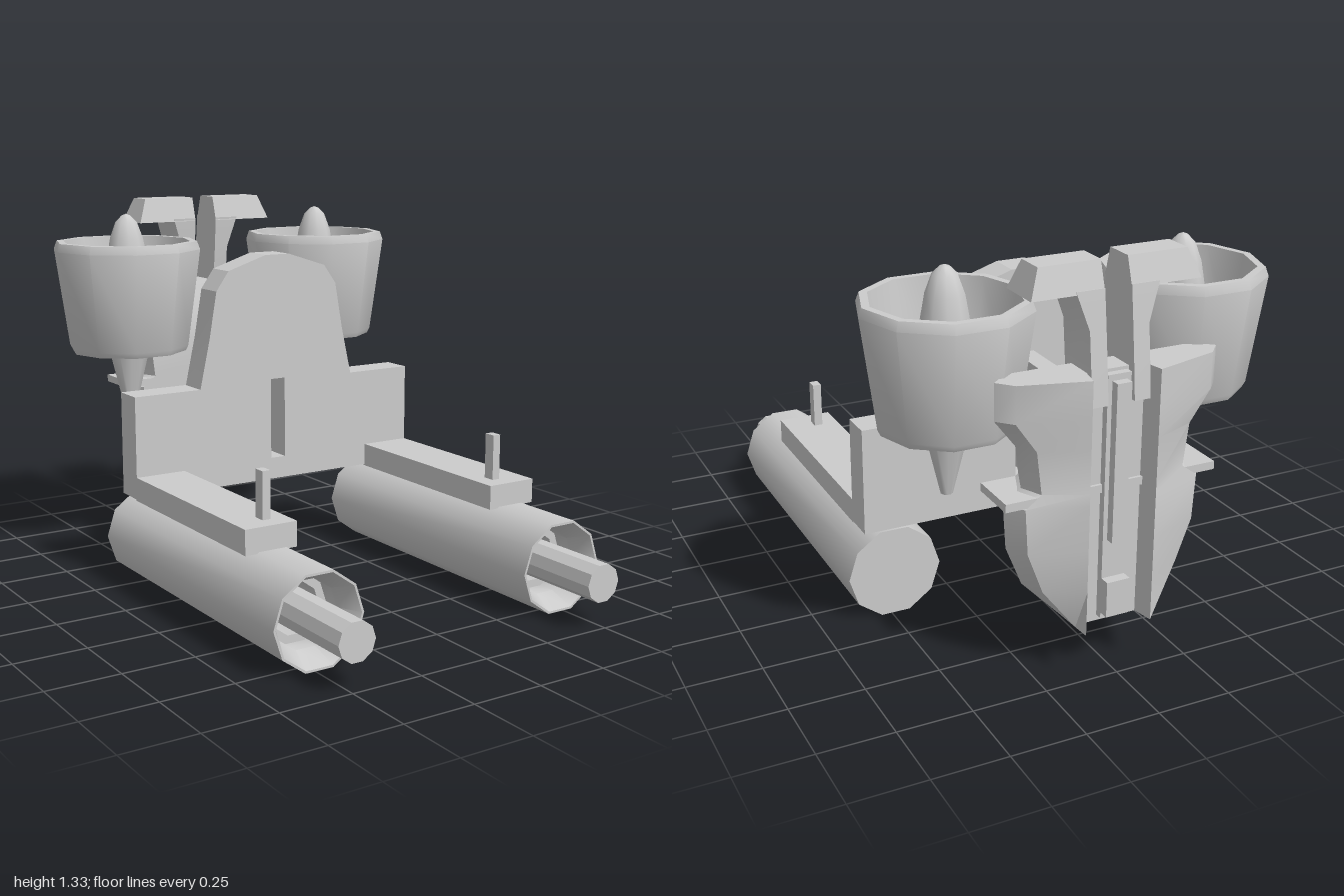
import * as THREE from 'three';
import { toCreasedNormals } from 'three/addons/utils/BufferGeometryUtils.js';

const material = new THREE.MeshStandardMaterial({ color: 0xcccccc });

function add(parent, name, geometry, x = 0, y = 0, z = 0, crease = 0.7) {
  const mesh = new THREE.Mesh(toCreasedNormals(geometry, crease), material);
  mesh.name = name;
  mesh.position.set(x, y, z);
  parent.add(mesh);
  return mesh;
}

// Box given by its limits on each axis
function addBox(parent, name, [x0, x1], [y0, y1], [z0, z1]) {
  const g = new THREE.BoxGeometry(x1 - x0, y1 - y0, z1 - z0);
  return add(parent, name, g, (x0 + x1) / 2, (y0 + y1) / 2, (z0 + z1) / 2);
}

// Ten-sided turned part with corners on the x axis
function turned(profile) {
  return new THREE.LatheGeometry(profile.map(([r, y]) => new THREE.Vector2(r, y)), 10, Math.PI / 2);
}

// Solid from stacked rings: { y, ring: [[x, z], ...] }, running front -> +x -> back
function loft(sections) {
  const n = sections[0].ring.length;
  const pos = [], index = [];
  for (const { y, ring } of sections) for (const [x, z] of ring) pos.push(x, y, z);
  for (let s = 0; s < sections.length - 1; s++) {
    for (let i = 0; i < n; i++) {
      const a = s * n + i, b = s * n + (i + 1) % n;
      index.push(a, b, b + n, a, b + n, a + n);
    }
  }
  const cap = ring => THREE.ShapeUtils.triangulateShape(ring.map(([x, z]) => new THREE.Vector2(x, -z)), []);
  const top = (sections.length - 1) * n;
  for (const [a, b, c] of cap(sections[0].ring)) index.push(a, c, b);
  for (const [a, b, c] of cap(sections[sections.length - 1].ring)) index.push(top + a, top + b, top + c);
  const g = new THREE.BufferGeometry();
  g.setAttribute('position', new THREE.Float32BufferAttribute(pos, 3));
  g.setIndex(index);
  return g;
}

// Rectangular ring on the side s = +1 or -1
function rect(s, x0, x1, z0, z1) {
  const [l, r] = s > 0 ? [x0, x1] : [-x1, -x0];
  return [[l, z1], [r, z1], [r, z0], [l, z0]];
}

function makeBarrel(s) {
  const barrel = new THREE.Group();
  barrel.name = s > 0 ? 'leftBarrel' : 'rightBarrel';
  const x = s * 0.485;
  const casing = add(barrel, 'casing', turned([
    [0, -0.355], [0.163, -0.355], [0.163, 0.8], [0.155, 0.8],
    [0.115, 0.72], [0.115, 0.66], [0.087, 0.66], [0.087, 0.5], [0, 0.5],
  ]), x, 0.155);
  casing.rotation.x = Math.PI / 2;
  const muzzle = add(barrel, 'muzzle', turned([[0, 0.5], [0.066, 0.5], [0.066, 1], [0, 1]]), x, 0.155, 0, 0.4);
  muzzle.rotation.x = Math.PI / 2;
  // Rail on top, with its control stick
  const span = (a, b) => (s > 0 ? [a, b] : [-b, -a]);
  addBox(barrel, 'rail', span(0.395, 0.585), [0.305, 0.39], [-0.24, 0.53]);
  addBox(barrel, 'stick', span(0.455, 0.485), [0.39, 0.55], [0.425, 0.468]);
  return barrel;
}

function makeFan(s) {
  const fan = new THREE.Group();
  fan.name = s > 0 ? 'leftFan' : 'rightFan';
  fan.position.set(s * 0.415, 0, -0.628);
  add(fan, 'duct', turned([
    [0, 0.78], [0.215, 0.78], [0.225, 0.8], [0.275, 1.16], [0.264, 1.19],
    [0.238, 1.19], [0.2, 0.94], [0, 0.94],
  ]));
  add(fan, 'spinner', turned([
    [0.085, 0.94], [0.08, 1.1], [0.062, 1.2], [0.04, 1.26], [0.016, 1.284], [0, 1.29],
  ]));
  add(fan, 'exhaustCone', turned([[0, 0.55], [0.02, 0.55], [0.076, 0.78]]));
  return fan;
}

function makeBackPack() {
  const pack = new THREE.Group();
  pack.name = 'backPack';
  // Shell: [height, half width, front z, widest z], grooved down the back
  const sections = [
    [0.16, 0.125, -0.77, -0.86], [0.31, 0.27, -0.77, -0.86], [0.45, 0.33, -0.77, -0.87],
    [0.6, 0.34, -0.77, -0.87], [0.64, 0.28, -0.77, -0.87], [0.78, 0.3, -0.77, -0.87],
    [0.88, 0.38, -0.79, -0.89], [1.0, 0.38, -0.84, -0.89],
  ].map(([y, w, front, mid]) => {
    const half = [
      [w * 0.85, front], [w, mid], [Math.max(w * 0.88, 0.12), -0.94], [0.115, -1], [0.1, -0.93],
    ];
    return { y, ring: [...half, ...half.map(([x, z]) => [-x, z]).reverse()] };
  });
  add(pack, 'shell', loft(sections), 0, 0, 0, 0.6);
  addBox(pack, 'sideFins', [-0.365, 0.365], [0.605, 0.632], [-0.94, -0.77]);
  // Details in the groove
  addBox(pack, 'spine', [-0.04, 0.04], [0.18, 0.99], [-0.955, -0.84]);
  addBox(pack, 'spineRail', [-0.025, 0.025], [0.45, 0.97], [-0.985, -0.9]);
  addBox(pack, 'latch', [-0.04, 0.04], [0.2, 0.32], [-0.99, -0.9]);
  for (const s of [1, -1]) {
    // Forked neck carrying a tapered hood
    add(pack, 'neck', loft([
      { y: 0.9, ring: rect(s, 0.045, 0.1, -0.97, -0.82) },
      { y: 1.0, ring: rect(s, 0.045, 0.1, -0.96, -0.8) },
      { y: 1.13, ring: rect(s, 0.045, 0.1, -0.945, -0.785) },
      { y: 1.25, ring: rect(s, 0.045, 0.14, -0.93, -0.775) },
    ]));
    add(pack, 'hood', loft([
      { y: 1.24, ring: rect(s, 0.045, 0.285, -0.93, -0.775) },
      { y: 1.33, ring: rect(s, 0.045, 0.25, -0.9, -0.8) },
    ]), 0, 0, 0, 0.3);
  }
  return pack;
}

export function createModel() {
  const model = new THREE.Group();
  model.name = 'flyingFrame';

  // Upright plate with a slot
  const right = [[0.585, 0.31], [0.585, 0.68], [0.325, 0.68], [0.285, 0.86], [0.255, 1.03], [0.205, 1.1], [0.05, 1.15]];
  const outline = [...right, ...right.map(([x, y]) => [-x, y]).reverse()];
  const shape = new THREE.Shape(outline.map(p => new THREE.Vector2(...p)));
  const slot = [[-0.03, 0.39], [-0.03, 0.69], [0.03, 0.69], [0.03, 0.39]];
  shape.holes.push(new THREE.Path(slot.map(p => new THREE.Vector2(...p))));
  add(model, 'frontPlate', new THREE.ExtrudeGeometry(shape, { depth: 0.112, bevelEnabled: false }), 0, 0, -0.345, 0.2);

  // Arms joining the plate to the pack
  addBox(model, 'upperArm', [-0.033, 0.033], [0.69, 0.86], [-0.86, -0.34]);
  const arm = new THREE.Shape([[0.34, 0.31], [0.78, 0.345], [0.78, 0.48], [0.34, 0.39]].map(p => new THREE.Vector2(...p)));
  const armGeometry = new THREE.ExtrudeGeometry(arm, { depth: 0.066, bevelEnabled: false });
  armGeometry.rotateY(Math.PI / 2);
  add(model, 'lowerArm', armGeometry, -0.033, 0, 0, 0.1);

  for (const s of [1, -1]) model.add(makeBarrel(s), makeFan(s));
  model.add(makeBackPack());
  return model;
}
